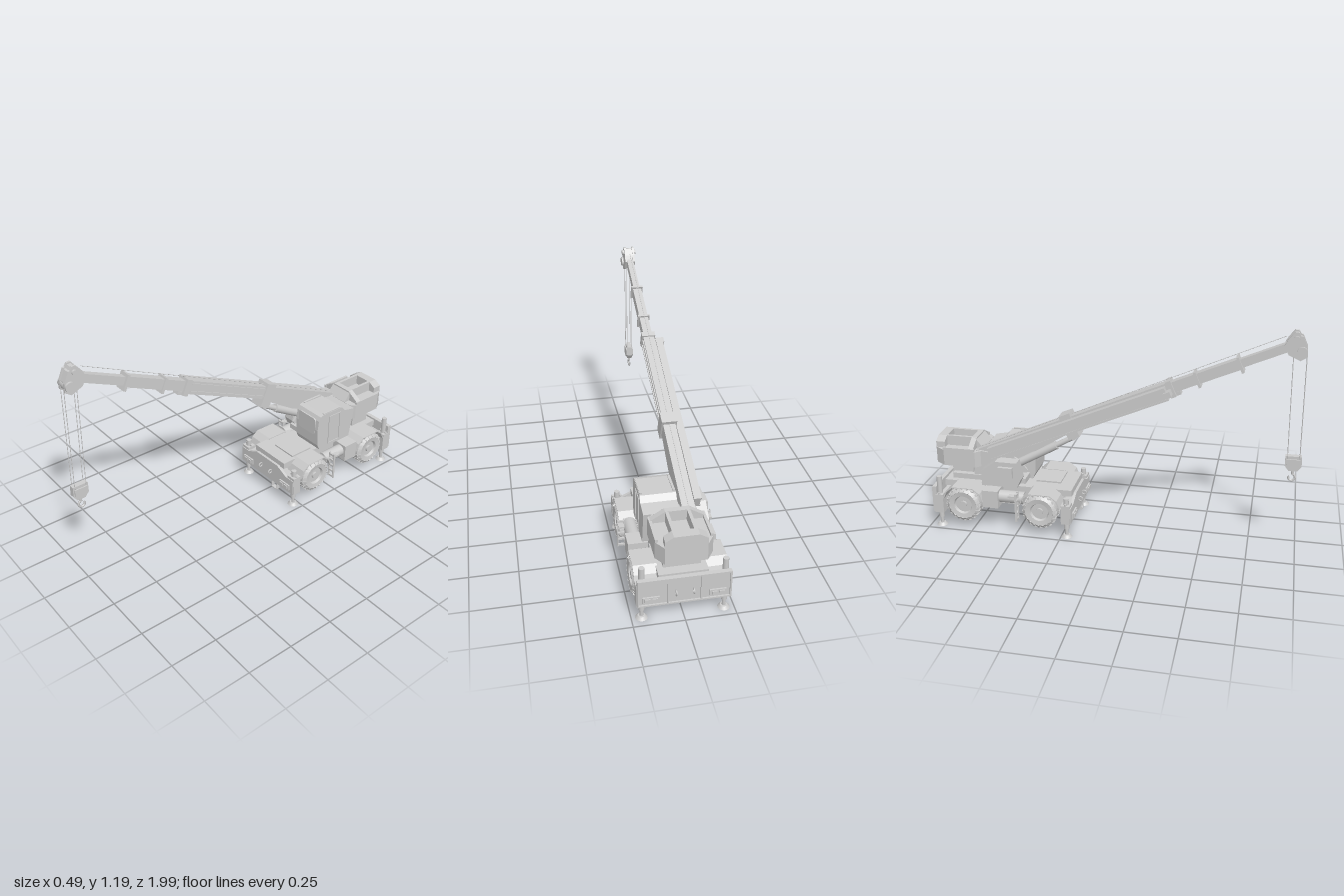
import * as THREE from 'three';

const mat = new THREE.MeshStandardMaterial({ color: 0xcccccc, side: THREE.DoubleSide });

function add(parent, name, geo, x = 0, y = 0, z = 0) {
  const m = new THREE.Mesh(geo, mat);
  m.name = name;
  m.position.set(x, y, z);
  parent.add(m);
  return m;
}
const box = (p, n, w, h, d, x, y, z) => add(p, n, new THREE.BoxGeometry(w, h, d), x, y, z);
const vec = (a) => new THREE.Vector3(...a);
const shapeOf = (pts) => new THREE.Shape(pts.map(([a, b]) => new THREE.Vector2(a, b)));
const extrude = (s, depth) => new THREE.ExtrudeGeometry(s, { depth, bevelEnabled: false });

// Side profile of [z, y] points, extruded to width w about x
function side(p, n, pts, w, x, hole) {
  const s = shapeOf(pts);
  if (hole) s.holes.push(shapeOf(hole));
  return add(p, n, extrude(s, w).rotateY(-Math.PI / 2).translate(w / 2, 0, 0), x);
}
// Plan outline of [x, z] points, extruded up from y to y + h
function plan(p, n, pts, y, h) {
  return add(p, n, extrude(shapeOf(pts.map(([a, b]) => [a, -b])), h).rotateX(-Math.PI / 2), 0, y);
}
// Cylinder between two points
function rod(p, n, a, b, r, seg = 16) {
  const A = vec(a), B = vec(b), d = B.clone().sub(A);
  const m = add(p, n, new THREE.CylinderGeometry(r, r, d.length(), seg));
  m.position.copy(A.add(B).multiplyScalar(0.5));
  m.quaternion.setFromUnitVectors(new THREE.Vector3(0, 1, 0), d.normalize());
  return m;
}
function group(parent, name, x = 0, y = 0, z = 0) {
  const g = new THREE.Group();
  g.name = name;
  g.position.set(x, y, z);
  parent.add(g);
  return g;
}

function wheel(parent, s, z) {
  const g = group(parent, 'wheel', s * 0.178, 0.145, z);
  // Tyre with dished rim, then low bars over tread and sidewall
  const pts = [[0.046, -0.035], [0.052, -0.05], [0.078, -0.054], [0.095, -0.04], [0.095, 0.04], [0.078, 0.054], [0.052, 0.05], [0.046, 0.035]];
  const tyre = new THREE.LatheGeometry(pts.map((q) => new THREE.Vector2(...q)), 36).toNonIndexed();
  tyre.computeVertexNormals();
  add(g, 'tyre', tyre.rotateZ(Math.PI / 2));
  rod(g, 'rim', [-0.036, 0, 0], [0.036, 0, 0], 0.047, 24);
  rod(g, 'hub', [0, 0, 0], [s * 0.048, 0, 0], 0.02, 12);
  for (let i = 0; i < 40; i++) {
    const e = i % 2 ? 1 : -1;
    const arm = group(g, 'treadBar');
    arm.rotation.x = (i / 40) * Math.PI * 2;
    const bar = box(arm, 'treadLug', 0.046, 0.008, 0.011, e * 0.022, 0.0945, 0);
    bar.rotation.y = e * 0.3;
    const wall = box(arm, 'sidewallLug', 0.004, 0.022, 0.009, e * 0.048, 0.086, -e * 0.006);
    wall.rotation.z = e * 0.66;
  }
}

function chassis(root) {
  const g = group(root, 'chassis');
  box(g, 'frame', 0.11, 0.12, 0.72, 0, 0.15, -0.58);
  box(g, 'frontDeck', 0.25, 0.035, 0.25, 0, 0.222, -0.335);
  box(g, 'deckHatch', 0.15, 0.01, 0.14, 0.03, 0.243, -0.36);
  box(g, 'midDeck', 0.22, 0.035, 0.24, 0, 0.215, -0.58);
  box(g, 'rearDeck', 0.24, 0.035, 0.24, 0, 0.222, -0.82);
  // Front and rear bumpers
  const wall = [[-0.225, 0.09], [0.225, 0.09], [0.225, 0.18], [0.165, 0.18], [0.09, 0.215], [-0.09, 0.215], [-0.165, 0.18], [-0.225, 0.18]];
  add(g, 'frontBumper', extrude(shapeOf(wall), 0.015), 0, 0, -0.205);
  box(g, 'frontOutriggerBeam', 0.36, 0.075, 0.05, 0, 0.14, -0.23);
  box(g, 'rearBumper', 0.45, 0.15, 0.015, 0, 0.165, -0.96);
  box(g, 'rearOutriggerBeam', 0.36, 0.075, 0.05, 0, 0.14, -0.935);
  for (const y of [0.094, 0.236]) box(g, 'rearBumperRail', 0.45, 0.008, 0.012, 0, y, -0.97);
  for (const x of [-0.221, -0.08, 0.08, 0.221]) box(g, 'rearBumperPost', 0.008, 0.14, 0.012, x, 0.165, -0.97);
  for (const [z, d] of [[-0.187, 1], [-0.97, -1]]) for (const s of [-1, 1]) {
    box(g, 'lampFrame', 0.08, 0.032, 0.012, s * 0.16, 0.126, z);
    for (const e of [-1, 1]) box(g, 'lamp', 0.026, 0.02, 0.012, s * 0.16 + e * 0.018, 0.126, z + d * 0.006);
    const eye = add(g, 'towEye', new THREE.TorusGeometry(0.012, 0.004, 6, 12), s * 0.042, 0.155, z + d * 0.008);
    eye.rotation.y = Math.PI / 2;
  }
  // Stirrup step under the front bumper
  for (const x of [0.042, 0.085]) box(g, 'stepLeg', 0.004, 0.05, 0.02, x, 0.07, -0.205);
  box(g, 'stepTread', 0.046, 0.004, 0.025, 0.0635, 0.046, -0.205);

  for (const z of [-0.365, -0.8]) {
    rod(g, 'axle', [-0.18, 0.145, z], [0.18, 0.145, z], 0.022);
    add(g, 'differential', new THREE.SphereGeometry(0.04, 16, 10), 0, 0.14, z);
    for (const s of [-1, 1]) {
      wheel(g, s, z);
      const arch = [[-0.115, 0.03], [-0.097, 0.073], [-0.06, 0.102], [0.06, 0.102], [0.097, 0.073], [0.115, 0.03],
        [0.109, 0.03], [0.092, 0.07], [0.057, 0.098], [-0.057, 0.098], [-0.092, 0.07], [-0.109, 0.03]];
      side(g, 'fender', arch, 0.115, 0).position.set(s * 0.17, 0.145, z);
    }
  }
  for (const s of [-1, 1]) {
    // Tank, tool box and access ladder between the wheels
    rod(g, 'tank', [s * 0.175, 0.197, -0.46], [s * 0.175, 0.197, -0.6], 0.034);
    box(g, 'toolBox', 0.1, 0.1, 0.09, s * 0.17, 0.19, -0.645);
    box(g, 'ladderBracket', 0.03, 0.01, 0.04, s * 0.225, 0.225, -0.515);
    for (const x of [0.204, 0.24]) box(g, 'ladderRail', 0.005, 0.165, 0.012, s * x, 0.163, -0.492);
    for (let i = 0; i < 5; i++) box(g, 'ladderRung', 0.04, 0.01, 0.01, s * 0.222, 0.09 + i * 0.036, -0.492);
    // Outrigger jacks
    for (const [z, top] of [[-0.22, 0.23], [-0.94, 0.295]]) {
      const j = group(g, 'outrigger', s * 0.2, 0, z);
      box(j, 'jackHousing', 0.055, 0.11, 0.05, 0, 0.14, 0);
      rod(j, 'jackSleeve', [0, 0.05, 0], [0, top, 0], 0.0145);
      rod(j, 'jackRod', [0, 0.01, 0], [0, 0.06, 0], 0.009);
      add(j, 'footPad', new THREE.CylinderGeometry(0.018, 0.03, 0.014, 20), 0, 0.007, 0);
      for (const e of [-1, 1]) rod(j, 'pin', [e * 0.02, 0.15, 0], [e * 0.02, 0.205, 0], 0.006, 8);
    }
  }
}

function upperBody(root) {
  const g = group(root, 'upperBody');
  rod(g, 'turntable', [0, 0.22, -0.6], [0, 0.262, -0.6], 0.11, 32);
  box(g, 'slewPlatform', 0.15, 0.03, 0.42, -0.045, 0.27, -0.68);
  for (const x of [-0.106, -0.034]) {
    side(g, 'boomBracket', [[-0.5, 0.262], [-0.48, 0.3], [-0.53, 0.36], [-0.66, 0.42], [-0.75, 0.43], [-0.77, 0.262]], 0.012, x);
  }
  // Cab: rounded front, sloped rear edge
  const cab = [[-0.455, 0.248], [-0.44, 0.28], [-0.435, 0.38], [-0.442, 0.44], [-0.455, 0.464], [-0.48, 0.472],
    [-0.62, 0.468], [-0.645, 0.44], [-0.72, 0.425], [-0.71, 0.36], [-0.69, 0.248]];
  side(g, 'cab', cab, 0.18, 0.06);
  const win = new THREE.Shape();
  win.absarc(0.05, 0.035, 0.018, 0, Math.PI / 2).absarc(-0.05, 0.035, 0.018, Math.PI / 2, Math.PI)
    .absarc(-0.05, -0.035, 0.018, Math.PI, Math.PI * 1.5).absarc(0.05, -0.035, 0.018, Math.PI * 1.5, Math.PI * 2);
  add(g, 'windscreen', extrude(win, 0.008), 0.06, 0.395, -0.442);
  for (const x of [-0.022, 0.142]) box(g, 'roofRail', 0.012, 0.008, 0.13, x, 0.472, -0.545);
  side(g, 'doorFrame', [[-0.52, 0.262], [-0.52, 0.445], [-0.61, 0.445], [-0.61, 0.262]], 0.006, 0.151,
    [[-0.526, 0.268], [-0.604, 0.268], [-0.604, 0.439], [-0.526, 0.439]]);
  // Equipment box with drum on the right
  side(g, 'equipmentBox', [[-0.5, 0.255], [-0.48, 0.3], [-0.5, 0.4], [-0.62, 0.4], [-0.7, 0.34], [-0.7, 0.255]], 0.065, -0.147);
  box(g, 'sidePanel', 0.02, 0.06, 0.08, -0.188, 0.345, -0.56);
  // Counterweight with an open, ribbed roof: flat centre bay and two sloping side bays
  box(g, 'rearPedestal', 0.18, 0.09, 0.12, 0, 0.293, -0.84);
  box(g, 'hoodBracket', 0.16, 0.06, 0.07, 0, 0.275, -0.725);
  plan(g, 'counterweight', [[-0.1, -0.985], [0.1, -0.985], [0.137, -0.93], [0.137, -0.75], [0.11, -0.722], [-0.11, -0.722], [-0.137, -0.75], [-0.137, -0.93]], 0.335, 0.09);
  const gable = shapeOf([[-0.13, 0.425], [0.13, 0.425], [0.13, 0.44], [0.06, 0.482], [-0.06, 0.482], [-0.13, 0.44]]);
  add(g, 'roofFront', extrude(gable, 0.03), 0, 0, -0.79);
  const rear = shapeOf([[-0.1, 0.425], [0.1, 0.425], [0.1, 0.458], [0.06, 0.482], [-0.06, 0.482], [-0.1, 0.458]]);
  add(g, 'roofRear', extrude(rear, 0.05), 0, 0, -0.985);
  side(g, 'roofSlope', [[-0.722, 0.425], [-0.765, 0.48], [-0.765, 0.425]], 0.14, 0);
  for (const s of [-1, 1]) {
    box(g, 'roofRib', 0.016, 0.057, 0.18, s * 0.052, 0.453, -0.86);
    box(g, 'roofSill', 0.014, 0.016, 0.18, s * 0.13, 0.432, -0.845);
  }
}

function boom(root) {
  // Local +z runs along the boom
  const g = group(root, 'boom', -0.07, 0.41, -0.717);
  g.rotation.x = -0.409;
  side(g, 'boomBase', [[-0.03, 0.03], [-0.03, -0.03], [0.1, -0.075], [0.3, -0.085], [0.53, -0.05], [0.53, 0.034]], 0.064, 0);
  box(g, 'mainSection', 0.06, 0.072, 0.62, 0, -0.003, 0.82);
  box(g, 'middleSection', 0.048, 0.056, 0.4, 0, 0, 1.3);
  box(g, 'tipSection', 0.036, 0.044, 0.3, 0, 0, 1.63);
  for (const s of [-1, 1]) for (const y of [-0.024, 0.018]) box(g, 'sideRib', 0.008, 0.008, 0.54, s * 0.032, y, 0.83);
  for (const [z, w, h, d, y] of [[0.535, 0.08, 0.14, 0.065, -0.016], [1.125, 0.074, 0.09, 0.03, -0.004], [1.27, 0.066, 0.085, 0.014, -0.004], [1.5, 0.066, 0.085, 0.014, -0.004]]) {
    box(g, 'collar', w, h, d, 0, y, z);
  }
  box(g, 'headPad', 0.04, 0.02, 0.05, 0, -0.04, 1.14);
  // Stowed jib along the right side
  box(g, 'jib', 0.03, 0.06, 1.05, -0.056, -0.01, 0.58);
  for (const y of [-0.04, 0.02]) box(g, 'jibRail', 0.038, 0.01, 1.05, -0.056, y, 0.58);
  box(g, 'jibEnd', 0.052, 0.03, 0.035, -0.062, -0.014, 1.11);
  rod(g, 'hoistRope', [0, 0.032, 0], [0, 0.053, 1.76], 0.0015, 6);

  // Lift cylinder
  const c = group(root, 'liftCylinder');
  rod(c, 'barrel', [-0.07, 0.34, -0.55], [-0.07, 0.482, -0.3], 0.023);
  rod(c, 'piston', [-0.07, 0.482, -0.3], [-0.07, 0.542, -0.196], 0.015);
  rod(c, 'pistonPin', [-0.105, 0.543, -0.196], [-0.035, 0.543, -0.196], 0.012);
}

function hoist(root) {
  // Boom head, ropes and hook block
  const g = group(root, 'boomHead');
  const head = [[0.982, 1.065], [0.98, 1.11], [0.955, 1.165], [0.945, 1.168], [0.935, 1.185], [0.915, 1.187], [0.885, 1.15], [0.868, 1.115], [0.89, 1.07], [0.95, 1.043]];
  side(g, 'headCore', head.map(([z, y]) => [0.925 + (z - 0.925) * 0.9, 1.113 + (y - 1.113) * 0.9]), 0.04, -0.07);
  for (const x of [-0.093, -0.047]) side(g, 'cheekPlate', head, 0.012, x);
  for (const [z, y, r] of [[0.955, 1.09, 0.026], [0.925, 1.155, 0.014]]) {
    rod(g, 'sheaveBoss', [-0.11, y, z], [-0.03, y, z], r, 20);
  }
  for (const x of [-0.085, -0.055]) {
    rod(root, 'frontRope', [x, 1.08, 0.98], [x, 0.51, 0.988], 0.002, 6);
    rod(root, 'rearRope', [x, 1.06, 0.915], [x, 0.51, 0.926], 0.002, 6);
  }
  const b = group(root, 'hookBlock');
  side(b, 'blockBody', [[0.915, 0.53], [0.998, 0.53], [1, 0.475], [0.98, 0.448], [0.935, 0.448], [0.915, 0.475]], 0.03, -0.07);
  for (const x of [-0.088, -0.052]) side(b, 'blockCheek', [[0.922, 0.515], [0.992, 0.515], [0.992, 0.475], [0.975, 0.46], [0.94, 0.46], [0.922, 0.475]], 0.008, x);
  rod(b, 'shank', [-0.07, 0.452, 0.957], [-0.07, 0.425, 0.957], 0.007, 10);
  const curve = new THREE.CatmullRomCurve3([[0.957, 0.43], [0.968, 0.418], [0.971, 0.404], [0.957, 0.39], [0.941, 0.396], [0.936, 0.412]].map(([z, y]) => vec([-0.07, y, z])));
  add(b, 'hook', new THREE.TubeGeometry(curve, 24, 0.006, 8));
}

export function createModel() {
  const root = new THREE.Group();
  root.name = 'mobileCrane';
  chassis(root);
  upperBody(root);
  boom(root);
  hoist(root);
  return root;
}
